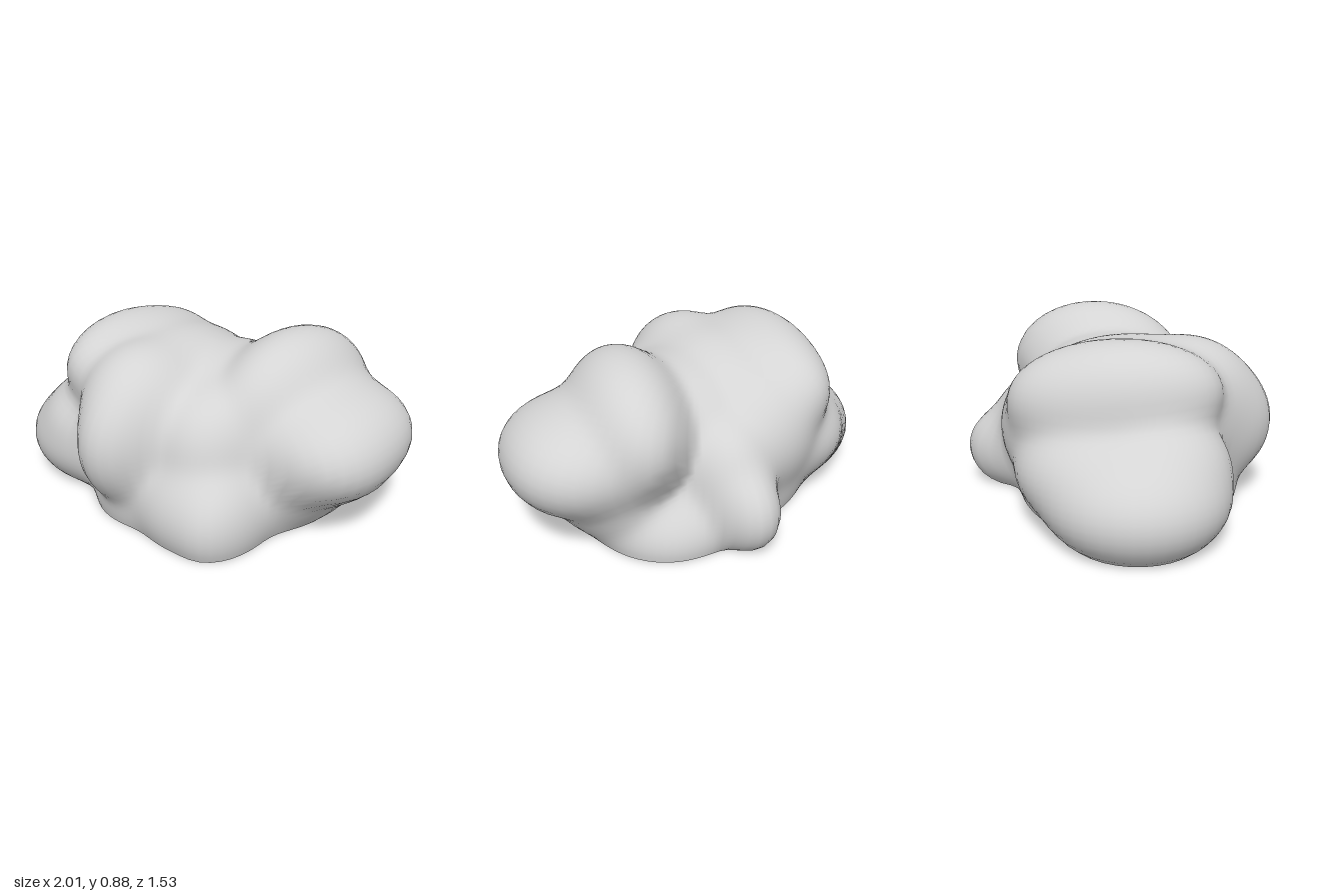
import * as THREE from 'three';

// Overlapping lobes: centre, radii, yaw
const LOBES = [
  { c: [0, 0.1, 0.02], r: [0.64, 0.43, 0.52] },                   // core
  { c: [0.28, 0.04, -0.24], r: [0.34, 0.24, 0.33] },              // back footing, +x side
  { c: [-0.1, 0.05, 0.34], r: [0.3, 0.22, 0.26] },                // front footing
  { c: [-0.58, 0.19, 0.09], r: [0.42, 0.28, 0.42] },              // low lobe, -x side
  { c: [-0.46, 0.28, -0.1], r: [0.33, 0.25, 0.36] },              // its back shoulder
  { c: [-0.55, 0.32, 0.2], r: [0.26, 0.23, 0.3] },                // its front shoulder
  { c: [-0.4, 0.58, -0.03], r: [0.26, 0.265, 0.46] },             // upper ridge, -x side
  { c: [-0.47, 0.64, 0.12], r: [0.19, 0.2, 0.34] },               // its squared edge
  { c: [-0.14, 0.49, 0.06], r: [0.3, 0.33, 0.48] },               // middle of the top
  { c: [-0.16, 0.53, 0.35], r: [0.26, 0.28, 0.29] },              // its front brow
  { c: [0.12, 0.49, -0.03], r: [0.25, 0.275, 0.38] },             // saddle between ridges
  { c: [-0.2, 0.4, -0.28], r: [0.28, 0.3, 0.27] },                // back wall
  { c: [-0.14, 0.4, 0.42], r: [0.22, 0.32, 0.34] },               // front bulge
  { c: [0.43, 0.55, -0.1], r: [0.27, 0.335, 0.46], yaw: -0.2 },   // upper ridge, +x side
  { c: [0.2, 0.4, 0.28], r: [0.25, 0.27, 0.28] },                 // front shoulder
  { c: [0.62, 0.42, -0.03], r: [0.355, 0.25, 0.39], yaw: -0.25 }, // overhanging lobe, +x side
  { c: [0.71, 0.43, -0.14], r: [0.28, 0.205, 0.29] },             // its back corner
  { c: [0.72, 0.39, 0.07], r: [0.25, 0.2, 0.29] },                // its front corner
  { c: [0.54, 0.24, -0.04], r: [0.26, 0.26, 0.36] },              // slope below it
  { c: [0.21, 0.12, 0.38], r: [0.31, 0.28, 0.3] },                // front foot
  { c: [0.35, 0.1, 0.41], r: [0.17, 0.23, 0.265] },               // its outer corner
  { c: [0.06, 0.19, -0.54], r: [0.155, 0.21, 0.225] },            // back knob
  { c: [0.06, 0.33, -0.4], r: [0.2, 0.24, 0.21] },                // slope above the knob
];
const BLEND = 0.04;

// Approximate distance to one ellipsoid
function lobeDistance({ c, r, yaw = 0 }, x, y, z) {
  const dx = x - c[0], dy = y - c[1], dz = z - c[2];
  const cs = Math.cos(yaw), sn = Math.sin(yaw);
  const lx = (dx * cs - dz * sn) / r[0], ly = dy / r[1], lz = (dx * sn + dz * cs) / r[2];
  const k0 = Math.hypot(lx, ly, lz);
  const k1 = Math.hypot(lx / r[0], ly / r[1], lz / r[2]);
  return k1 < 1e-6 ? -Math.min(...r) : (k0 * (k0 - 1)) / k1;
}

// Smooth union of all lobes
function field(x, y, z) {
  let sum = 0;
  for (const lobe of LOBES) sum += Math.exp(-lobeDistance(lobe, x, y, z) / BLEND);
  return -BLEND * Math.log(sum + 1e-30);
}

// Outermost surface point along a ray from the middle of the base
function surfacePoint(elevation, azimuth) {
  const dir = [
    Math.cos(elevation) * Math.cos(azimuth),
    Math.sin(elevation),
    Math.cos(elevation) * Math.sin(azimuth),
  ];
  const at = (t) => field(dir[0] * t, dir[1] * t, dir[2] * t);
  let outer = 1.3;
  while (outer > 0.05 && at(outer - 0.01) > 0) outer -= 0.01;
  let inner = outer - 0.01;
  for (let i = 0; i < 12; i++) {
    const mid = (inner + outer) / 2;
    if (at(mid) > 0) outer = mid; else inner = mid;
  }
  return dir.map((d) => d * inner);
}

function makeMesh(name, positions, index, material) {
  const geometry = new THREE.BufferGeometry();
  geometry.setAttribute('position', new THREE.Float32BufferAttribute(positions, 3));
  geometry.setIndex(index);
  geometry.computeVertexNormals();
  const mesh = new THREE.Mesh(geometry, material);
  mesh.name = name;
  return mesh;
}

export function createModel() {
  const group = new THREE.Group();
  group.name = 'boulder';
  const stone = new THREE.MeshStandardMaterial({ color: 0xd4d4d4 });
  stone.name = 'stone grey';

  // Dome of rings from the ground up to a single top point
  const around = 96, rings = 40;
  const positions = [], index = [];
  for (let j = 0; j < rings; j++) {
    for (let i = 0; i < around; i++) {
      positions.push(...surfacePoint((j / rings) * Math.PI / 2, (i / around) * Math.PI * 2));
    }
  }
  positions.push(...surfacePoint(Math.PI / 2, 0));
  const top = rings * around;
  for (let j = 0; j < rings; j++) {
    for (let i = 0; i < around; i++) {
      const n = (i + 1) % around;
      const a = j * around + i, c = j * around + n;
      if (j === rings - 1) index.push(a, top, c);
      else index.push(a, a + around, c, a + around, c + around, c);
    }
  }
  group.add(makeMesh('lumpyBody', positions, index, stone));

  // Flat underside
  const fan = [];
  for (let i = 0; i < around; i++) fan.push(around, i, (i + 1) % around);
  group.add(makeMesh('flatBase', [...positions.slice(0, around * 3), 0, 0, 0], fan, stone));

  return group;
}
